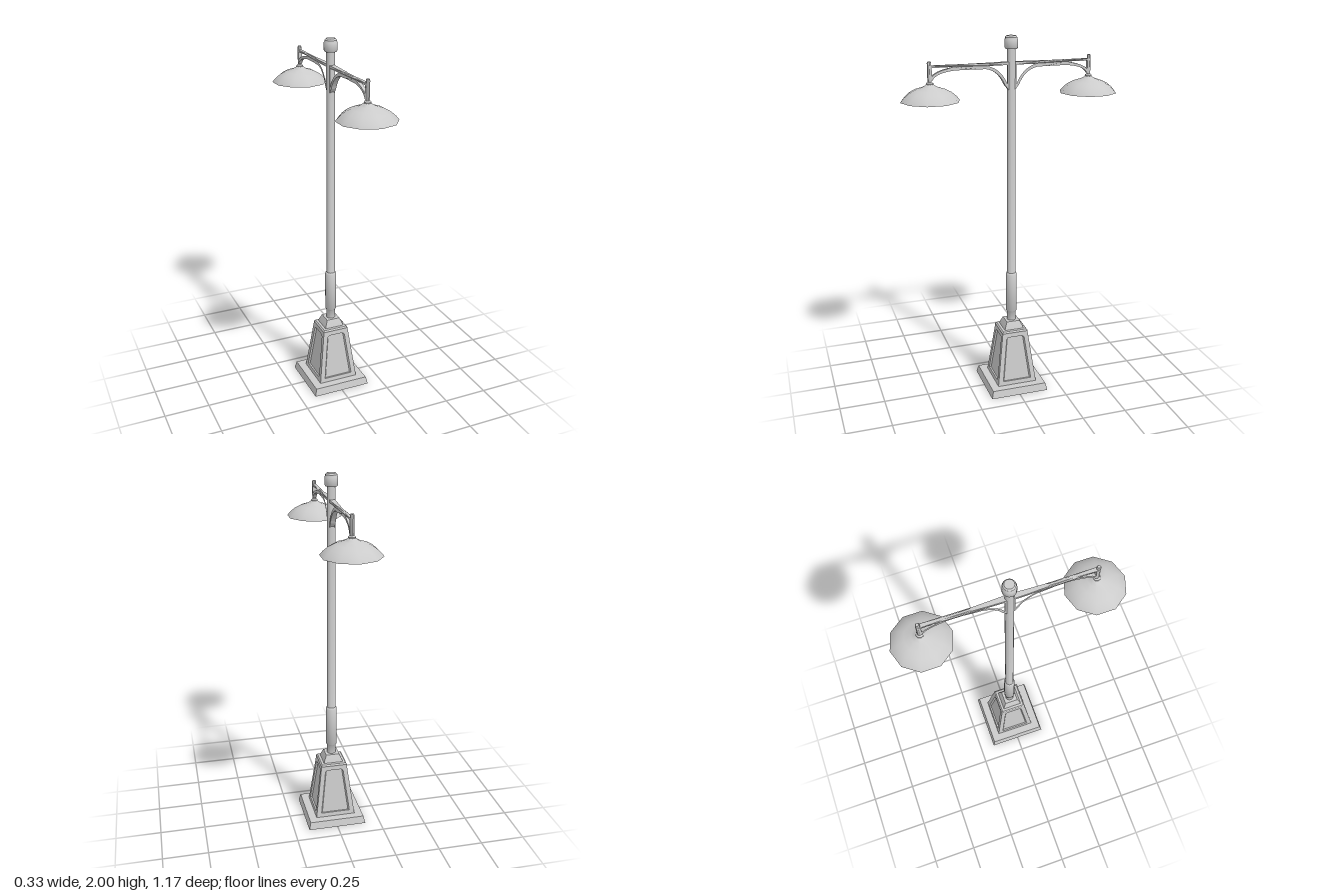
import * as THREE from 'three';
import { toCreasedNormals } from 'three/addons/utils/BufferGeometryUtils.js';

const grey = new THREE.MeshStandardMaterial({ color: 0xcccccc });
const greyThin = new THREE.MeshStandardMaterial({ color: 0xcccccc, side: THREE.DoubleSide });
const red = new THREE.MeshStandardMaterial({ color: 0xff1a0a });

function add(parent, name, geometry, material = grey) {
  const mesh = new THREE.Mesh(geometry, material);
  mesh.name = name;
  parent.add(mesh);
  return mesh;
}

// Turned part from [radius, y] pairs, listed bottom to top
function turned(profile, sides, crease = 0.7) {
  const points = profile.map(([r, y]) => new THREE.Vector2(r, y));
  return toCreasedNormals(new THREE.LatheGeometry(points, sides), crease);
}

// Square part from [half width, y] pairs
function square(profile) {
  const points = profile.map(([h, y]) => new THREE.Vector2(h * Math.SQRT2, y));
  return toCreasedNormals(new THREE.LatheGeometry(points, 4, Math.PI / 4), 0.15);
}

// Tapered pedestal: half width at height y
const pedestalHalf = (y) => 0.113 - (y - 0.04) * 0.127;

// One framed side of the pedestal, sloped and mitred at the corners
function panelFrame(depth) {
  const y0 = 0.04, y1 = 0.35;
  const shape = new THREE.Shape();
  shape.moveTo(-pedestalHalf(y0), y0);
  shape.lineTo(pedestalHalf(y0), y0);
  shape.lineTo(pedestalHalf(y1), y1);
  shape.lineTo(-pedestalHalf(y1), y1);
  const hole = new THREE.Path();
  hole.moveTo(-0.083, 0.066);
  hole.lineTo(-0.053, 0.31);
  hole.quadraticCurveTo(-0.05, 0.326, -0.036, 0.326);
  hole.lineTo(0.036, 0.326);
  hole.quadraticCurveTo(0.05, 0.326, 0.053, 0.31);
  hole.lineTo(0.083, 0.066);
  hole.closePath();
  shape.holes.push(hole);
  const geo = new THREE.ExtrudeGeometry(shape, { depth, bevelEnabled: false, curveSegments: 4 });
  const p = geo.attributes.position;
  for (let i = 0; i < p.count; i++) {
    const half = pedestalHalf(p.getY(i));
    const z = half - depth + p.getZ(i);
    p.setXYZ(i, p.getX(i) * z / half, p.getY(i), z);
  }
  geo.computeVertexNormals();
  return geo;
}

// Half width of the arm along its reach
function armHalfWidth(z) {
  const steps = [[0, 0.015], [0.1, 0.012], [0.18, 0.009], [0.19, 0.005], [0.31, 0.005], [0.33, 0.007], [0.44, 0.011]];
  for (let i = 1; i < steps.length; i++) {
    const [za, wa] = steps[i - 1], [zb, wb] = steps[i];
    if (z <= zb) return THREE.MathUtils.mapLinear(z, za, zb, wa, wb);
  }
  return 0.011;
}

// Arm with curved braces: a pierced side outline in (z, y)
function armGeometry() {
  const shape = new THREE.Shape();
  shape.moveTo(0.01, 1.868);
  for (const z of [0.1, 0.18, 0.19, 0.31, 0.33, 0.43]) shape.lineTo(z, 1.866);
  shape.lineTo(0.43, 1.79);
  shape.lineTo(0.42, 1.79);
  shape.bezierCurveTo(0.405, 1.82, 0.36, 1.832, 0.3, 1.837);
  for (const z of [0.19, 0.18, 0.14]) shape.lineTo(z, 1.837);
  shape.bezierCurveTo(0.085, 1.828, 0.055, 1.79, 0.038, 1.75);
  shape.lineTo(0.01, 1.715);
  shape.closePath();

  const outer = new THREE.Path();
  outer.moveTo(0.305, 1.855);
  outer.bezierCurveTo(0.35, 1.845, 0.395, 1.838, 0.42, 1.812);
  outer.lineTo(0.42, 1.855);
  outer.closePath();
  const inner = new THREE.Path();
  inner.moveTo(0.025, 1.853);
  inner.lineTo(0.13, 1.852);
  inner.bezierCurveTo(0.08, 1.84, 0.045, 1.805, 0.025, 1.755);
  inner.closePath();
  shape.holes.push(outer, inner);

  const geo = new THREE.ExtrudeGeometry(shape, { depth: 2, bevelEnabled: false, curveSegments: 8 });
  geo.translate(0, 0, -1).rotateY(-Math.PI / 2);
  const p = geo.attributes.position;
  for (let i = 0; i < p.count; i++) p.setX(i, p.getX(i) * armHalfWidth(p.getZ(i)));
  geo.computeVertexNormals();
  return geo;
}

// One arm with its hanging lamp, reaching towards +z
function lampArm() {
  const group = new THREE.Group();
  add(group, 'arm', armGeometry());
  const lamp = new THREE.Group();
  lamp.name = 'lamp';
  lamp.position.z = 0.431;
  group.add(lamp);
  add(lamp, 'hanger', turned([
    [0, 1.765], [0.019, 1.765], [0.019, 1.778], [0.011, 1.785], [0.011, 1.88], [0.008, 1.886], [0, 1.886],
  ], 8));
  add(lamp, 'shade', turned([
    [0.154, 1.688], [0.137, 1.708], [0.112, 1.729], [0.08, 1.746], [0.042, 1.758], [0.025, 1.767], [0.017, 1.775], [0, 1.775],
  ], 10, 0.9), greyThin);
  add(lamp, 'bulb', new THREE.SphereGeometry(0.033, 16, 12), red).position.y = 1.715;
  add(lamp, 'bulbSocket', new THREE.CylinderGeometry(0.016, 0.016, 0.035, 10)).position.y = 1.755;
  return group;
}

export function createModel() {
  const model = new THREE.Group();
  model.name = 'streetLamp';

  // Square foot and pedestal
  add(model, 'plinth', square([[0, 0], [0.166, 0], [0.156, 0.042], [0, 0.042]]));
  const depth = 0.009;
  add(model, 'pedestalCore', square([
    [0, 0.04], [pedestalHalf(0.04) - depth, 0.04], [pedestalHalf(0.35) - depth, 0.35], [0, 0.35],
  ]));
  for (let i = 0; i < 4; i++) {
    add(model, 'panelFrame', panelFrame(depth)).rotation.y = i * Math.PI / 2;
  }
  add(model, 'pedestalCap', square([
    [0, 0.345], [0.074, 0.345], [0.075, 0.352], [0.068, 0.36], [0.055, 0.362], [0.051, 0.375], [0.038, 0.405], [0, 0.405],
  ]));

  // Post with sleeve and finial
  add(model, 'post', turned([
    [0.025, 0.4], [0.025, 0.455], [0.027, 0.458], [0.031, 0.464], [0.031, 0.684], [0.027, 0.692],
    [0.0235, 0.694], [0.0225, 1.94],
  ], 16));
  add(model, 'finial', turned([
    [0.02, 1.934], [0.031, 1.934], [0.035, 1.94], [0.035, 1.98], [0.031, 1.986], [0.031, 1.992], [0.024, 2], [0, 2],
  ], 16));

  // Mirrored arms, front and back
  ['frontLampArm', 'backLampArm'].forEach((name, i) => {
    const arm = lampArm();
    arm.name = name;
    arm.rotation.y = i * Math.PI;
    model.add(arm);
  });
  return model;
}
